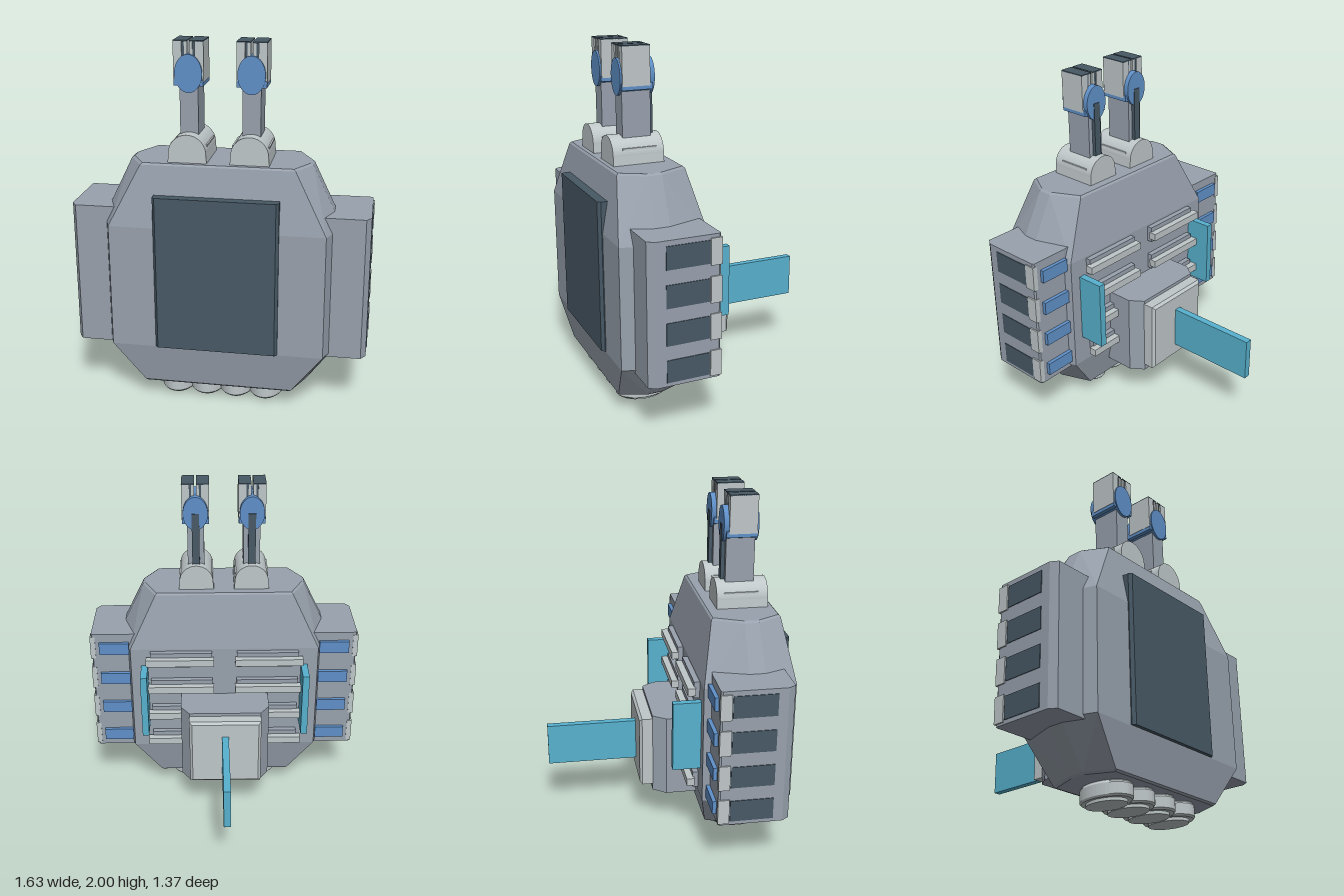
import * as THREE from 'three';
import { ConvexGeometry } from 'three/addons/geometries/ConvexGeometry.js';

const mat = (name, color) => Object.assign(new THREE.MeshStandardMaterial({ color }), { name });

export function createModel() {
  const grey = mat('hull grey', 0x98a1ad);
  const light = mat('light grey', 0xbfc7c9);
  const dark = mat('dark slate', 0x475965);
  const blue = mat('blue', 0x5f90c8);
  const teal = mat('teal', 0x57b1ce);

  const model = new THREE.Group();
  model.name = 'backpack';

  const add = (parent, name, geometry, material) => {
    const m = new THREE.Mesh(geometry, material);
    m.name = name;
    parent.add(m);
    return m;
  };
  // Box given by its limits on each axis
  const box = (parent, name, material, [x0, x1], [y0, y1], [z0, z1]) => {
    const m = add(parent, name, new THREE.BoxGeometry(x1 - x0, y1 - y0, z1 - z0), material);
    m.position.set((x0 + x1) / 2, (y0 + y1) / 2, (z0 + z1) / 2);
    return m;
  };
  // Faceted solid around a list of points
  const hull = (parent, name, material, points) =>
    add(parent, name, new ConvexGeometry(points.map(p => new THREE.Vector3(...p))), material);
  // Mirrored plan outline [x, z] at height y
  const ring = (y, plan) => plan.flatMap(([x, z]) => [[x, y, z], [-x, y, z]]);

  // Main body: stacked octagonal sections
  hull(model, 'body', grey, [
    ...ring(0.10, [[0.40, 0.21], [0.465, 0.38], [0.465, 0.47], [0.40, 0.61]]),
    ...ring(0.11, [[0.41, 0.20], [0.48, 0.38], [0.48, 0.47], [0.41, 0.62]]),
    ...ring(0.34, [[0.57, 0.15], [0.65, 0.39], [0.65, 0.48], [0.58, 0.66]]),
    ...ring(1.03, [[0.57, 0.15], [0.65, 0.39], [0.65, 0.48], [0.58, 0.66]]),
    ...ring(1.36, [[0.41, 0.215], [0.49, 0.38], [0.49, 0.46], [0.41, 0.60]]),
    ...ring(1.37, [[0.40, 0.225], [0.475, 0.38], [0.475, 0.46], [0.40, 0.59]]),
  ]);

  // Raised front panel with slightly bevelled sides
  hull(model, 'frontPanel', dark, [0.345, 1.205].flatMap(y =>
    ring(y, [[0.335, 0.58], [0.335, 0.665], [0.32, 0.682]])));

  // Side pods with windows, corner tabs and rear lamps
  for (const s of [1, -1]) {
    const pod = new THREE.Group();
    pod.name = s > 0 ? 'leftPod' : 'rightPod';
    model.add(pod);
    const spanX = (a, b) => (s > 0 ? [a, b] : [-b, -a]);
    const plan = [[0.50, 0.20], [0.58, 0.19], [0.80, 0.19], [0.807, 0.20],
      [0.807, 0.55], [0.78, 0.59], [0.50, 0.59]];
    hull(pod, 'podShell', grey, [0.32, 1.115].flatMap(y => plan.map(([x, z]) => [s * x, y, z])));
    for (let i = 0; i < 4; i++) {
      const y = 0.405 + i * 0.206;
      box(pod, 'podWindow', dark, spanX(0.805, 0.811), [y - 0.063, y + 0.063], [0.255, 0.495]);
      box(pod, 'podTab', light, spanX(0.785, 0.815), [y - 0.073, y + 0.073], [0.187, 0.25]);
      box(pod, 'podLamp', blue, spanX(0.58, 0.76), [y - 0.038, y + 0.038], [0.168, 0.20]);
    }
    // Upright side fin on the back
    box(model, 'sideFin', teal, spanX(0.467, 0.507), [0.513, 0.92], [-0.008, 0.18]);

    // Horizontal rails on the back
    for (let i = 0; i < 4; i++) {
      const y = 0.407 + i * 0.187;
      box(model, 'railBase', grey, spanX(0.075, 0.45), [y - 0.045, y + 0.05], [0.118, 0.17]);
      box(model, 'rail', light, spanX(0.065, 0.475), [y - 0.022, y + 0.022], [0.08, 0.125]);
    }

    // Arms standing on the top
    const arm = new THREE.Group();
    arm.name = s > 0 ? 'leftArm' : 'rightArm';
    arm.position.x = s * 0.165;
    model.add(arm);

    // Rounded socket, extruded front to back
    const dome = new THREE.Shape();
    dome.moveTo(-0.105, 1.36);
    dome.lineTo(0.105, 1.36);
    dome.lineTo(0.10, 1.42);
    dome.absellipse(0, 1.42, 0.10, 0.10, 0, Math.PI, false);
    const socket = add(arm, 'armSocket',
      new THREE.ExtrudeGeometry(dome, { depth: 0.29, bevelEnabled: false, curveSegments: 24 }), light);
    socket.position.z = 0.275;
    for (const t of [1, -1])
      box(arm, 'socketRib', light, t > 0 ? [0.085, 0.10] : [-0.10, -0.085], [1.45, 1.46], [0.315, 0.51]);

    box(arm, 'armPost', grey, [-0.049, 0.049], [1.45, 1.80], [0.33, 0.492]);
    box(arm, 'armSpine', dark, [-0.022, 0.022], [1.51, 1.83], [0.308, 0.34]);

    // Oval pivot through the arm head
    const pivot = add(arm, 'armPivot', new THREE.CylinderGeometry(1, 1, 0.195, 40), blue);
    pivot.rotation.x = Math.PI / 2;
    pivot.scale.set(0.073, 1, 0.10);
    pivot.position.set(0, 1.83, 0.409);
    box(arm, 'headCollar', blue, [-0.078, 0.078], [1.765, 1.80], [0.325, 0.5]);

    // Two prongs: light cheeks, dark jaws and dark caps
    for (const t of [1, -1]) {
      const px = (a, b) => (t > 0 ? [a, b] : [-b, -a]);
      box(arm, 'prongCheek', light, px(0.035, 0.08), [1.785, 1.995], [0.34, 0.497]);
      box(arm, 'prongJaw', dark, px(0.022, 0.036), [1.85, 1.995], [0.345, 0.488]);
      box(arm, 'prongLip', light, px(0.006, 0.022), [1.85, 1.995], [0.345, 0.494]);
      box(arm, 'prongCap', dark, px(0.006, 0.08), [1.993, 2.0], [0.34, 0.497]);
    }
  }

  // Central housing on the back, its cover plate and long fin
  hull(model, 'backHousing', grey, [
    ...[0.225, 0.715].flatMap(y => ring(y, [[0.268, 0.2], [0.268, -0.005], [0.215, -0.08]])),
  ]);
  hull(model, 'backCover', light, [
    ...[0.265, 0.695].flatMap(y => ring(y, [[0.216, -0.07], [0.216, -0.14]])),
    ...[0.28, 0.68].flatMap(y => ring(y, [[0.20, -0.155]])),
  ]);
  box(model, 'longFin', teal, [-0.02, 0.02], [0.345, 0.595], [-0.685, -0.14]);

  // Row of oval feet under the body
  const footProfile = [[0, 0], [0.78, 0], [0.78, 0.016], [0.94, 0.016], [1, 0.026], [1, 0.085], [0.94, 0.095], [0.94, 0.115]]
    .map(([r, y]) => new THREE.Vector2(r, y));
  const footGeometry = new THREE.LatheGeometry(footProfile, 40).toNonIndexed();
  footGeometry.computeVertexNormals();
  for (let i = 0; i < 4; i++) {
    const foot = add(model, 'foot', footGeometry, light);
    foot.scale.set(0.104, 1, 0.158);
    foot.position.set((i - 1.5) * 0.167, 0, 0.418);
  }

  return model;
}
